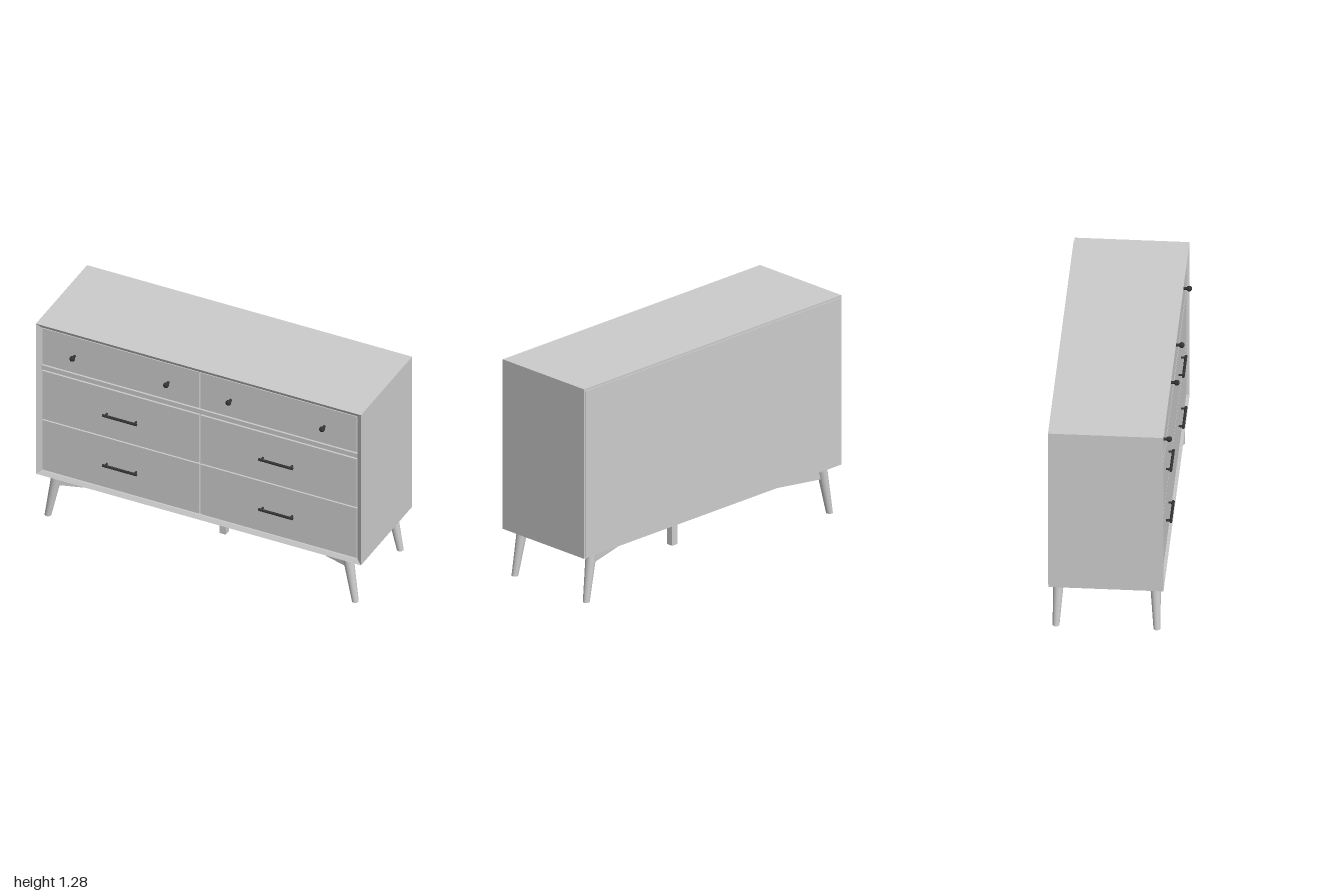
import * as THREE from 'three';

export function createModel() {
  const model = new THREE.Group();
  const paint = new THREE.MeshStandardMaterial({ color: 0xcccccc });
  paint.name = 'light grey paint';
  const metal = new THREE.MeshStandardMaterial({ color: 0x333333 });
  metal.name = 'dark metal';

  function add(name, geometry, material, x = 0, y = 0, z = 0, parent = model) {
    const mesh = new THREE.Mesh(geometry, material);
    mesh.name = name;
    mesh.position.set(x, y, z);
    parent.add(mesh);
    return mesh;
  }
  // Box given by its limits on each axis
  function block(name, x0, x1, y0, y1, z0, z1) {
    return add(name, new THREE.BoxGeometry(x1 - x0, y1 - y0, z1 - z0), paint,
      (x0 + x1) / 2, (y0 + y1) / 2, (z0 + z1) / 2);
  }
  // Round bar between two points
  function rod(name, a, b, ra, rb, material, parent, sides = 24) {
    const dir = b.clone().sub(a);
    const mid = a.clone().add(b).multiplyScalar(0.5);
    const mesh = add(name, new THREE.CylinderGeometry(rb, ra, dir.length(), sides), material, mid.x, mid.y, mid.z, parent);
    mesh.quaternion.setFromUnitVectors(new THREE.Vector3(0, 1, 0), dir.normalize());
    return mesh;
  }
  const V = (x, y, z) => new THREE.Vector3(x, y, z);

  // Cabinet body: rectangular loops from the back to the mitred front bevel and the recess
  const loops = [[0, -0.33], [0, 0.305], [0.028, 0.29], [0.028, 0.268]].map(([inset, z]) => {
    const x = 1 - inset, y0 = 0.28 + inset * 0.8, y1 = 1.285 - inset * 0.9;
    return [[-x, y0, z], [x, y0, z], [x, y1, z], [-x, y1, z]];
  });
  const pos = [];
  const quad = (a, b, c, d) => pos.push(...a, ...b, ...c, ...a, ...c, ...d);
  for (let i = 0; i < loops.length - 1; i++) {
    for (let k = 0; k < 4; k++) {
      const n = (k + 1) % 4;
      quad(loops[i][k], loops[i][n], loops[i + 1][n], loops[i + 1][k]);
    }
  }
  quad(...loops[3]);
  quad(...loops[0].slice().reverse());
  const bodyGeometry = new THREE.BufferGeometry();
  bodyGeometry.setAttribute('position', new THREE.Float32BufferAttribute(pos, 3));
  bodyGeometry.computeVertexNormals();
  add('cabinetBody', bodyGeometry, paint);
  block('backPanel', -0.99, 0.99, 0.29, 1.272, -0.335, -0.328);
  block('drawerRail', -0.972, 0.972, 0.979, 1.007, 0.26, 0.289);

  // Drawer fronts
  const rows = [[0.309, 0.641], [0.649, 0.97], [1.016, 1.255]];
  for (const s of [-1, 1]) {
    for (const [y0, y1] of rows) {
      const inner = s * 0.004, outer = s * 0.966;
      block('drawerFront', Math.min(inner, outer), Math.max(inner, outer), y0, y1, 0.26, 0.289);
    }
    // Round knobs on the upper drawers
    for (const x of [0.192, 0.768]) {
      const knob = new THREE.Group();
      knob.name = 'knob';
      model.add(knob);
      add('knobBall', new THREE.SphereGeometry(0.016, 20, 14), metal, s * x, 1.13, 0.32, knob);
      rod('knobStem', V(s * x, 1.13, 0.285), V(s * x, 1.13, 0.32), 0.008, 0.008, metal, knob, 12);
    }
    // Bar pulls on the lower drawers
    for (const y of [0.47, 0.805]) {
      const pull = new THREE.Group();
      pull.name = 'barPull';
      model.add(pull);
      rod('pullBar', V(s * 0.48 - 0.105, y, 0.315), V(s * 0.48 + 0.105, y, 0.315), 0.008, 0.008, metal, pull, 16);
      for (const e of [-0.09, 0.09]) {
        rod('pullStem', V(s * 0.48 + e, y, 0.285), V(s * 0.48 + e, y, 0.315), 0.006, 0.006, metal, pull, 12);
      }
    }
  }

  // Splayed tapered legs, with level ends, and the diagonal braces
  const midZ = -0.014;
  for (const sx of [-1, 1]) {
    for (const sz of [-1, 1]) {
      const leg = new THREE.CylinderGeometry(0.031, 0.019, 0.281, 28);
      const shear = new THREE.Matrix4().set(
        1, -sx * 0.18, 0, sx * 0.92,
        0, 1, 0, 0.1405,
        0, -sz * 0.04, 1, midZ + sz * 0.273,
        0, 0, 0, 1);
      leg.applyMatrix4(shear);
      add('taperedLeg', leg, paint);

      const dx = sx * 0.9, dz = sz * 0.265;
      const brace = add('diagonalBrace', new THREE.BoxGeometry(Math.hypot(dx, dz), 0.066, 0.035), paint,
        dx / 2, 0.248, midZ + dz / 2);
      brace.rotation.y = -Math.atan2(dz, dx);
    }
  }
  block('centreLeg', -0.02, 0.02, 0, 0.27, midZ - 0.02, midZ + 0.02);

  return model;
}
